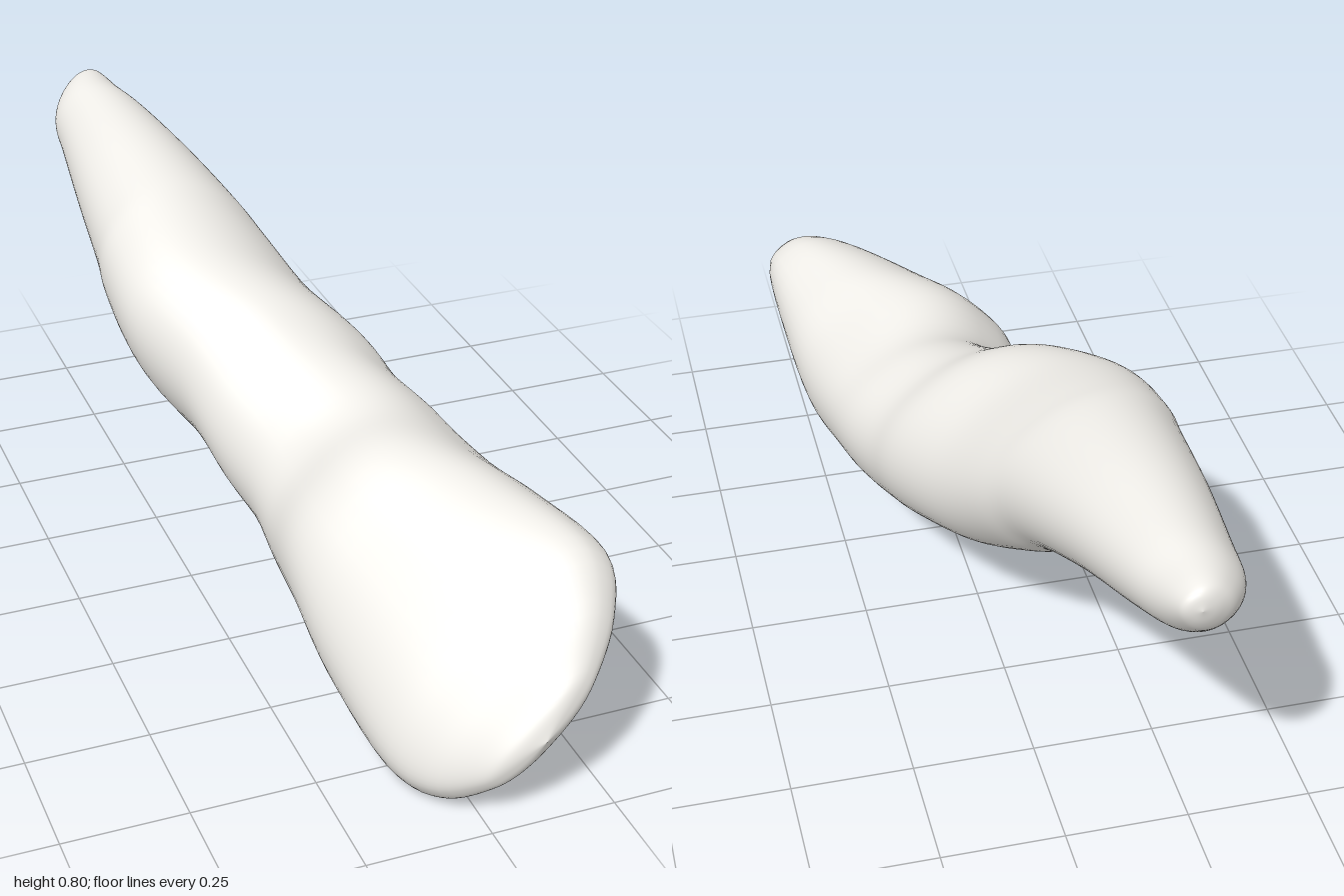
import * as THREE from 'three';

// Cross-sections from biting edge to root tip:
// z, centre x, centre y, half width along edge, half thickness, taper
const SECTIONS = [
  [1.0, 0.1, 0.17, 0, 0, 0],
  [0.985, 0.1, 0.172, 0.09, 0.028, 0],
  [0.96, 0.1, 0.177, 0.155, 0.046, 0],
  [0.9, 0.092, 0.198, 0.24, 0.08, 0.02],
  [0.8, 0.08, 0.23, 0.288, 0.125, 0.05],
  [0.6, 0.056, 0.253, 0.268, 0.187, 0.07],
  [0.45, 0.042, 0.275, 0.235, 0.22, 0.08],
  [0.3, 0.036, 0.282, 0.222, 0.2, 0.08],
  [0.2, 0.025, 0.313, 0.208, 0.205, 0.06],
  [0.1, -0.008, 0.353, 0.198, 0.222, 0.04],
  [0.0, -0.04, 0.413, 0.192, 0.245, 0.04],
  [-0.15, -0.1, 0.468, 0.186, 0.25, 0.03],
  [-0.3, -0.13, 0.535, 0.176, 0.218, 0.02],
  [-0.4, -0.143, 0.581, 0.164, 0.185, 0.02],
  [-0.6, -0.16, 0.638, 0.138, 0.144, 0.02],
  [-0.8, -0.172, 0.68, 0.108, 0.106, 0.02],
  [-0.9, -0.18, 0.7, 0.088, 0.084, 0],
  [-0.965, -0.172, 0.725, 0.06, 0.055, 0],
  [-0.99, -0.16, 0.738, 0.035, 0.032, 0],
  [-1.0, -0.155, 0.742, 0, 0, 0],
];

const SIDES = 64;
const STEPS = 5;
const TILT = 0.81; // the biting edge runs diagonally

function smoothCurve(pick) {
  const points = SECTIONS.map((s) => new THREE.Vector3(...pick(s)));
  return new THREE.CatmullRomCurve3(points, false, 'catmullrom', 0.5);
}

const soften = (value, power) => Math.sign(value) * Math.abs(value) ** power;

// Lofts a smooth closed skin through the sections
function loftGeometry() {
  const spine = smoothCurve(([z, x, y]) => [x, y, z]);
  const size = smoothCurve(([, , , w, t, taper]) => [w, t, taper]);
  const rings = (SECTIONS.length - 1) * STEPS;
  const c = Math.cos(TILT);
  const s = Math.sin(TILT);
  const positions = [];
  const indices = [];

  for (let i = 0; i <= rings; i++) {
    const p = spine.getPoint(i / rings);
    const r = size.getPoint(i / rings);
    // the crown is boxier than the root
    const power = 0.93 - 0.13 * THREE.MathUtils.smoothstep(p.z, -0.1, 0.4);
    for (let j = 0; j < SIDES; j++) {
      const a = (j / SIDES) * Math.PI * 2;
      // narrower toward the inner side, broad toward the outer face
      const across = soften(Math.sin(a), power);
      const u = Math.max(r.x, 0) * soften(Math.cos(a), power) * (1 - r.z * across);
      const v = Math.max(r.y, 0) * across;
      positions.push(p.x + u * c - v * s, p.y + u * s + v * c, p.z);
      if (i < rings) {
        const here = i * SIDES + j;
        const side = i * SIDES + ((j + 1) % SIDES);
        if (i < rings - 1) indices.push(here, here + SIDES, side + SIDES);
        else indices.push(here, here + SIDES, side);
        if (i > 0 && i < rings - 1) indices.push(here, side + SIDES, side);
      }
    }
  }

  const geometry = new THREE.BufferGeometry();
  geometry.setAttribute('position', new THREE.Float32BufferAttribute(positions, 3));
  geometry.setIndex(indices);
  geometry.computeVertexNormals();
  return geometry;
}

export function createModel() {
  const group = new THREE.Group();
  group.name = 'tooth';
  // Crown and root are one continuous ivory surface
  const body = new THREE.Mesh(
    loftGeometry(),
    new THREE.MeshStandardMaterial({ color: 0xf0eee9 })
  );
  body.name = 'crownAndRoot';
  group.add(body);
  return group;
}
